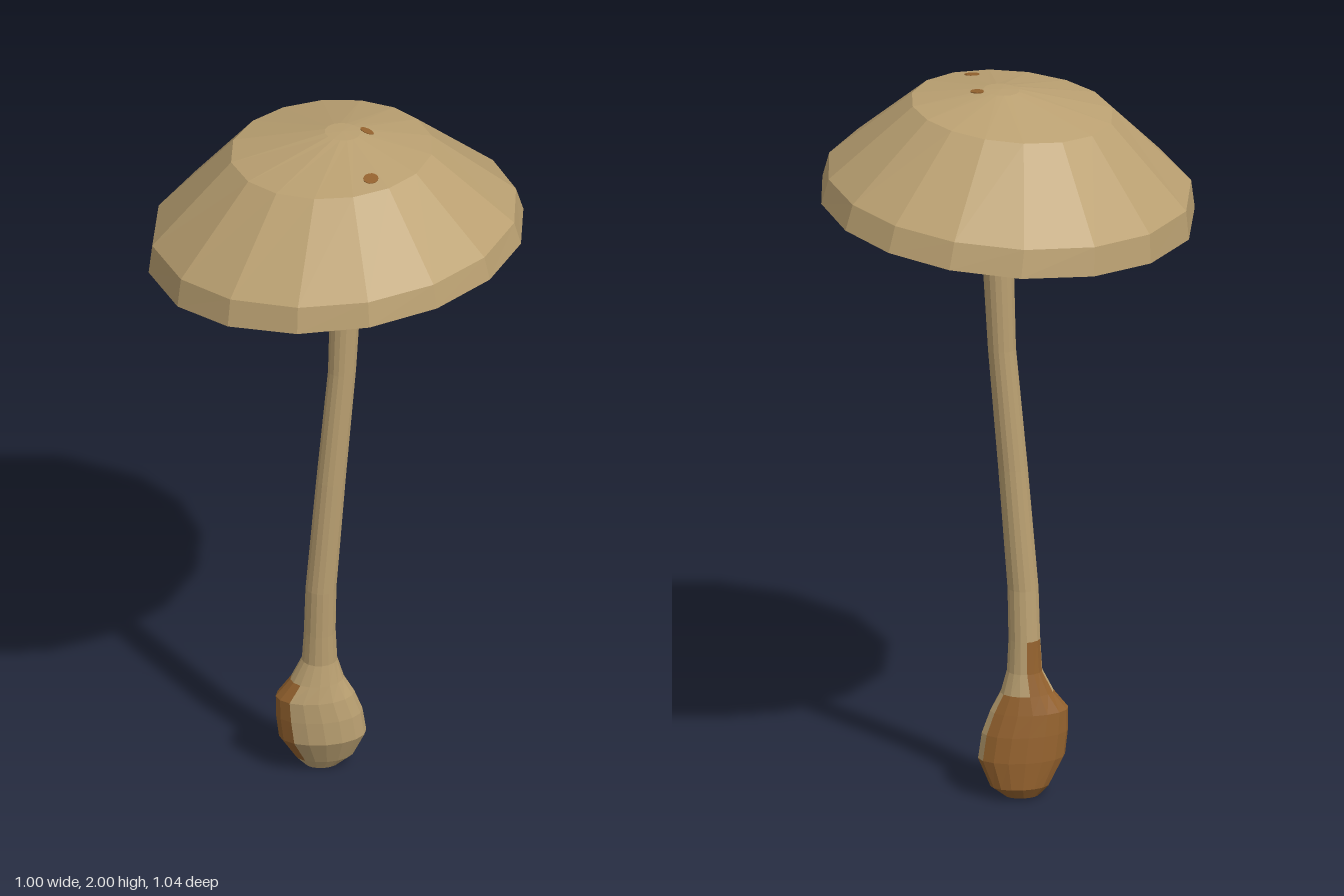
import * as THREE from 'three';

// Skin a stack of tilted elliptical rings:
// [centreX, y, centreZ, radiusU, radiusV, slope along x, slope along z].
// angles places the corners round each ring, turn rotates the ellipses about y,
// and stained(angle, y) may pick the second material for a face.
function loft(rings, angles, turn = 0, stained = () => false) {
  const cos = Math.cos(turn), sin = Math.sin(turn), sides = angles.length;
  const point = ([cx, y, cz, ru, rv, slopeX = 0, slopeZ = 0], j) => {
    const a = angles[j % sides];
    const u = Math.cos(a) * ru, v = Math.sin(a) * rv;
    const dx = u * cos - v * sin, dz = u * sin + v * cos;
    return [cx + dx, y + slopeX * dx + slopeZ * dz, cz + dz];
  };
  const parts = [[], []];
  for (let i = 0; i < rings.length - 1; i++) {
    for (let j = 0; j < sides; j++) {
      const [lo, hi] = [rings[i], rings[i + 1]];
      const a = point(lo, j), b = point(lo, j + 1), c = point(hi, j), d = point(hi, j + 1);
      const middle = angles[j] + Math.PI / sides;
      const out = parts[stained(middle, (lo[1] + hi[1]) / 2) ? 1 : 0];
      if (lo[3] > 0) out.push(...a, ...c, ...b);
      if (hi[3] > 0) out.push(...b, ...c, ...d);
    }
  }
  const geo = new THREE.BufferGeometry();
  geo.setAttribute('position', new THREE.Float32BufferAttribute(parts.flat(), 3));
  geo.addGroup(0, parts[0].length / 3, 0);
  geo.addGroup(parts[0].length / 3, parts[1].length / 3, 1);
  geo.computeVertexNormals();
  return geo;
}

export function createModel() {
  const group = new THREE.Group();
  const tan = new THREE.MeshStandardMaterial({ color: 0xbba172, flatShading: true });
  tan.name = 'tan flesh';
  const brown = new THREE.MeshStandardMaterial({ color: 0x94622e, flatShading: true });
  brown.name = 'brown stain';

  const add = (name, geometry, material) => {
    const mesh = new THREE.Mesh(geometry, material);
    mesh.name = name;
    group.add(mesh);
    return mesh;
  };

  // Cap: hollow underside out to the slightly uneven rim, then up the outside to the crown
  const capAngles = [-2, 20, 42, 64, 87, 109, 134, 160, 184, 206, 229, 251, 272, 292, 313, 335]
    .map(THREE.MathUtils.degToRad);
  const cap = add('cap', loft([
    [0.01, 1.872, -0.02, 0, 0],
    [0.01, 1.867, -0.02, 0.09, 0.09, 0.05],
    [0, 1.843, -0.015, 0.15, 0.15, 0.06],
    [0, 1.81, -0.01, 0.25, 0.26, 0.08, -0.015],
    [0, 1.757, 0, 0.37, 0.38, 0.095, -0.015],
    [0, 1.697, 0, 0.47, 0.49, 0.105, -0.015],
    [0.001, 1.665, -0.002, 0.5, 0.52, 0.105, -0.015],
    [-0.003, 1.738, 0.001, 0.489, 0.5, 0.093, -0.012],
    [-0.015, 1.947, -0.002, 0.277, 0.266, 0.072, -0.02],
    [0.005, 1.998, -0.025, 0.05, 0.045, 0.02],
    [0.005, 2, -0.025, 0, 0],
  ], capAngles), [tan, brown]);

  // Stem: flattened swollen foot, slender bent stalk, flared join under the cap
  const stemAngles = Array.from({ length: 16 }, (_, j) => j / 16 * Math.PI * 2);
  const stained = (angle, y) => {
    const outer = Math.cos(angle) < 0, side = Math.sin(angle);
    if (y > 0.29) return y < 0.43 && outer && side < -0.5;
    if (outer) return side < (y > 0.06 ? 0.65 : 0.3);
    return side < (y < 0.13 ? 0 : -0.25);
  };
  add('stem', loft([
    [-0.058, 0, -0.018, 0, 0],
    [-0.058, 0.005, -0.018, 0.045, 0.03],
    [-0.054, 0.035, -0.022, 0.08, 0.05],
    [-0.046, 0.11, -0.004, 0.118, 0.069],
    [-0.05, 0.18, 0.006, 0.117, 0.068],
    [-0.056, 0.24, 0.017, 0.106, 0.064],
    [-0.051, 0.29, 0.014, 0.072, 0.055],
    [-0.046, 0.35, 0.01, 0.048, 0.045],
    [-0.043, 0.44, 0.013, 0.043, 0.044],
    [-0.035, 0.58, 0.018, 0.042, 0.042],
    [-0.012, 0.92, 0.004, 0.04, 0.04],
    [0.01, 1.26, -0.016, 0.038, 0.038],
    [0.019, 1.6, -0.027, 0.044, 0.044],
    [0.02, 1.72, -0.028, 0.05, 0.05],
    [0.02, 1.81, -0.028, 0.066, 0.066],
    [0.02, 1.875, -0.028, 0.088, 0.088],
    [0.02, 1.885, -0.028, 0, 0],
  ], stemAngles, -Math.PI / 4, stained), [tan, brown]);

  // Small blemishes lying on the crown
  const down = new THREE.Vector3(0, -1, 0);
  for (const [x, z, rx, rz] of [[0.053, -0.07, 0.021, 0.012], [0.184, 0.088, 0.02, 0.021]]) {
    const hit = new THREE.Raycaster(new THREE.Vector3(x, 3, z), down).intersectObject(cap)[0];
    const spot = add('capSpot', new THREE.CylinderGeometry(1, 1, 0.004, 14), brown);
    spot.scale.set(rx, 1, rz);
    spot.position.copy(hit.point);
    spot.quaternion.setFromUnitVectors(new THREE.Vector3(0, 1, 0), hit.face.normal);
  }
  return group;
}
